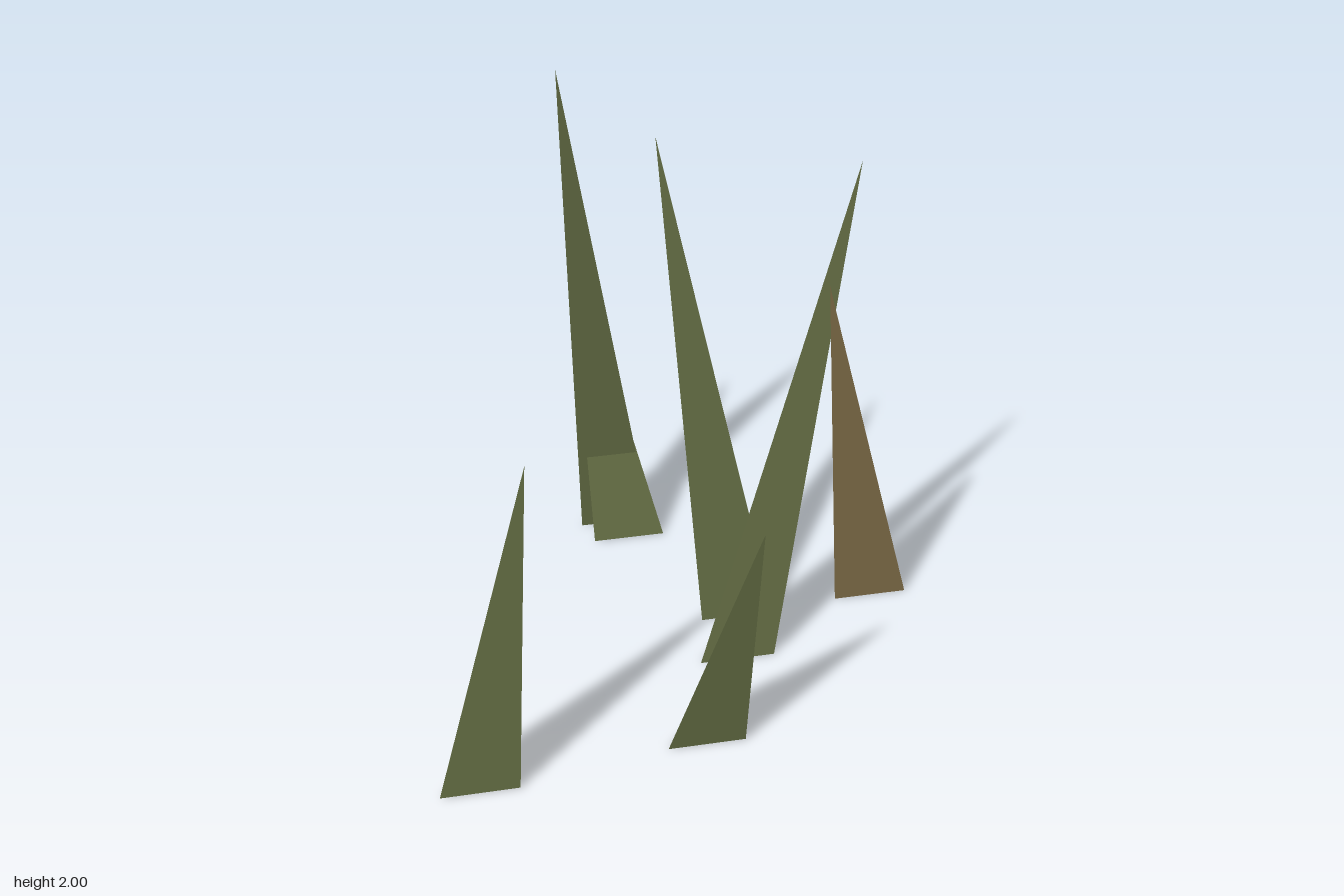
import * as THREE from 'three';

const green = new THREE.MeshStandardMaterial({ color: 0x6b7549 });
green.name = 'grassGreen';
const brown = new THREE.MeshStandardMaterial({ color: 0x927d53 });
brown.name = 'dryBrown';

const HALF = 0.126; // half width of every blade's foot

// Leaning three-sided blade: foot is a right triangle pointing backwards.
// faces: material index for front, back right, back left, underside
function blade(x, z, tip, faces) {
  const L = [x - HALF, 0, z + HALF / 2];
  const R = [x + HALF, 0, z + HALF / 2];
  const B = [x, 0, z - HALF / 2];
  const tris = [[L, R, tip], [R, B, tip], [B, L, tip], [L, B, R]];
  const geo = new THREE.BufferGeometry();
  geo.setAttribute('position', new THREE.Float32BufferAttribute(tris.flat(2), 3));
  geo.computeVertexNormals();
  faces.forEach((m, i) => geo.addGroup(i * 3, 3, m));
  return new THREE.Mesh(geo, [green, brown]);
}

export function createModel() {
  const group = new THREE.Group();
  group.name = 'grassTuft';
  const G = 0, W = 1;
  const blades = [
    // name, foot centre x and z, tip, face colours
    ['leftOuterBlade', -0.717, 0.534, [-0.52, 1.33, 0.66], [G, G, G, G]],
    ['frontBlade', 0.018, 0.459, [0.13, 1.05, 0.73], [G, G, G, G]],
    ['middleFrontBlade', 0.192, 0.1, [0.51, 1.87, 0.147], [G, W, W, W]],
    ['middleBackBlade', 0.235, -0.103, [-0.045, 1.9, -0.036], [G, W, W, W]],
    ['sideBlade', 0.714, -0.127, [0.4, 1.55, 0.28], [W, G, G, G]],
    ['tallBackBlade', -0.106, -0.672, [-0.292, 2, -0.3], [G, W, G, W]],
    ['shortBackBlade', -0.072, -0.577, [-0.245, 1.26, -0.65], [G, G, W, G]],
  ];
  for (const [name, x, z, tip, faces] of blades) {
    const mesh = blade(x, z, tip, faces);
    mesh.name = name;
    group.add(mesh);
  }
  return group;
}
